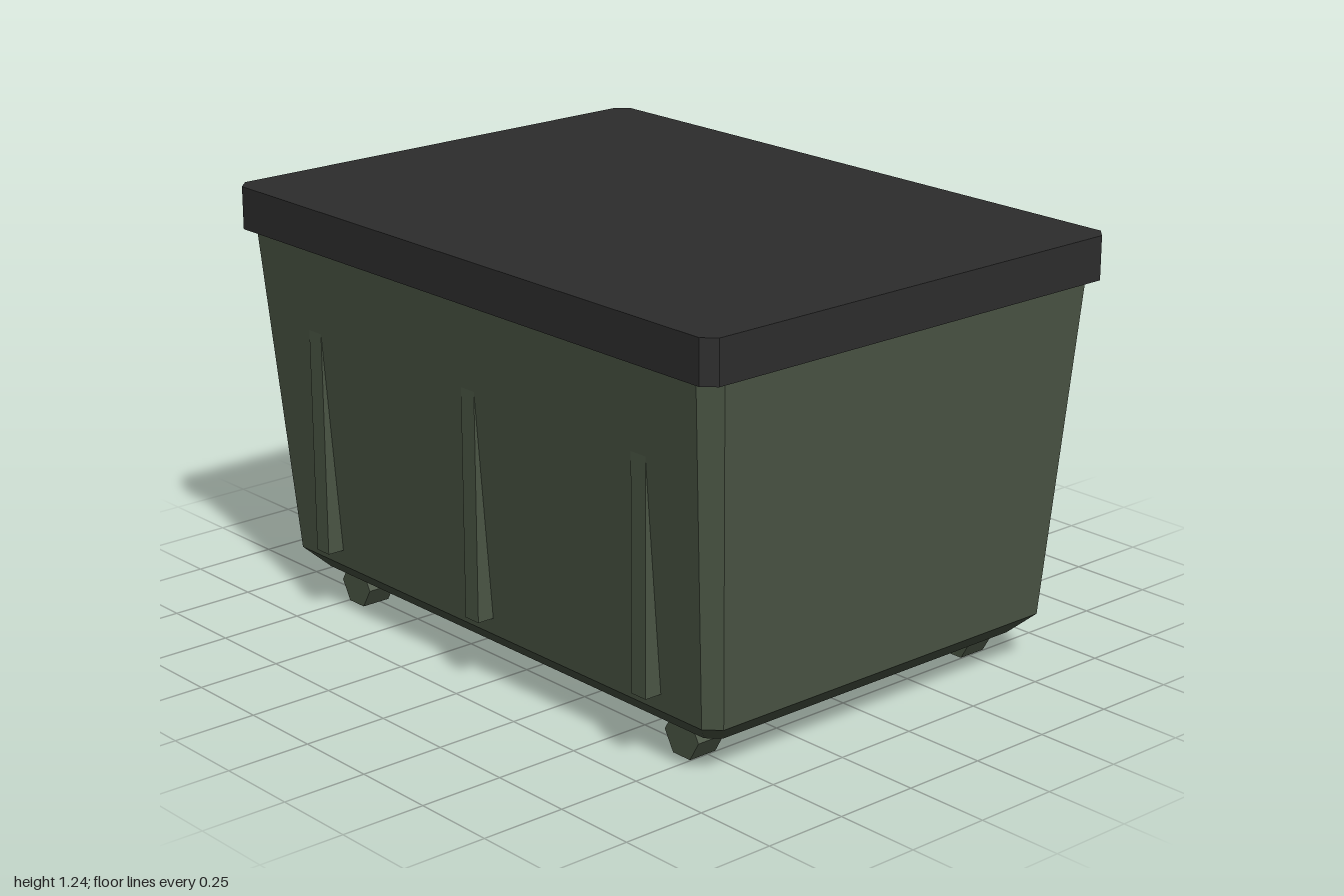
import * as THREE from 'three';

const green = new THREE.MeshStandardMaterial({ color: 0x4b5645 });
green.name = 'olive green plastic';
const dark = new THREE.MeshStandardMaterial({ color: 0x2d2d2d });
dark.name = 'charcoal plastic';

// Rectangle with cut corners, running from +x towards +z
function ring({ y, x, z, c }) {
  return [
    [x, -z + c], [x, z - c], [x - c, z], [-x + c, z],
    [-x, z - c], [-x, -z + c], [-x + c, -z], [x - c, -z],
  ].map(([px, pz]) => [px, y, pz]);
}

// Closed, flat-faced solid through a stack of rings, bottom to top
function loft(sections) {
  const rings = sections.map(ring);
  const pos = [];
  const tri = (a, b, c) => pos.push(...a, ...b, ...c);
  for (let r = 0; r < rings.length - 1; r++) {
    const lo = rings[r], hi = rings[r + 1];
    for (let i = 0; i < 8; i++) {
      const j = (i + 1) % 8;
      tri(lo[i], hi[i], hi[j]);
      tri(lo[i], hi[j], lo[j]);
    }
  }
  const bottom = rings[0], top = rings[rings.length - 1];
  for (let i = 1; i < 7; i++) {
    tri(bottom[0], bottom[i], bottom[i + 1]);
    tri(top[0], top[i + 1], top[i]);
  }
  const g = new THREE.BufferGeometry();
  g.setAttribute('position', new THREE.Float32BufferAttribute(pos, 3));
  g.computeVertexNormals();
  return g;
}

export function createModel() {
  const model = new THREE.Group();
  model.name = 'storageBin';
  const add = (name, geometry, material, x = 0, y = 0, z = 0) => {
    const mesh = new THREE.Mesh(geometry, material);
    mesh.name = name;
    mesh.position.set(x, y, z);
    model.add(mesh);
  };

  // Tapered tub with a bevelled base
  add('tub', loft([
    { y: 0.1, x: 0.575, z: 0.852, c: 0.035 },
    { y: 0.16, x: 0.634, z: 0.913, c: 0.04 },
    { y: 1.13, x: 0.71, z: 0.98, c: 0.05 },
  ]), green);

  // Overhanging lid
  add('lid', loft([
    { y: 1.128, x: 0.732, z: 1, c: 0.035 },
    { y: 1.253, x: 0.732, z: 1, c: 0.035 },
  ]), dark);

  // Upright ribs that sink into the sloping side walls
  const rib = new THREE.BoxGeometry(0.1, 0.67, 0.056);
  // Hexagonal feet lying along x, pointed downwards
  const foot = new THREE.CylinderGeometry(0.066, 0.066, 0.09, 6).toNonIndexed();
  foot.rotateZ(Math.PI / 2);
  foot.computeVertexNormals();

  for (const [side, sx] of [['left', 1], ['right', -1]]) {
    for (const z of [-0.692, 0, 0.692]) add(side + 'Rib', rib, green, sx * 0.64, 0.545, z);
    for (const z of [-0.714, 0.714]) add(side + 'Foot', foot, green, sx * 0.515, 0.066, z);
  }
  return model;
}
